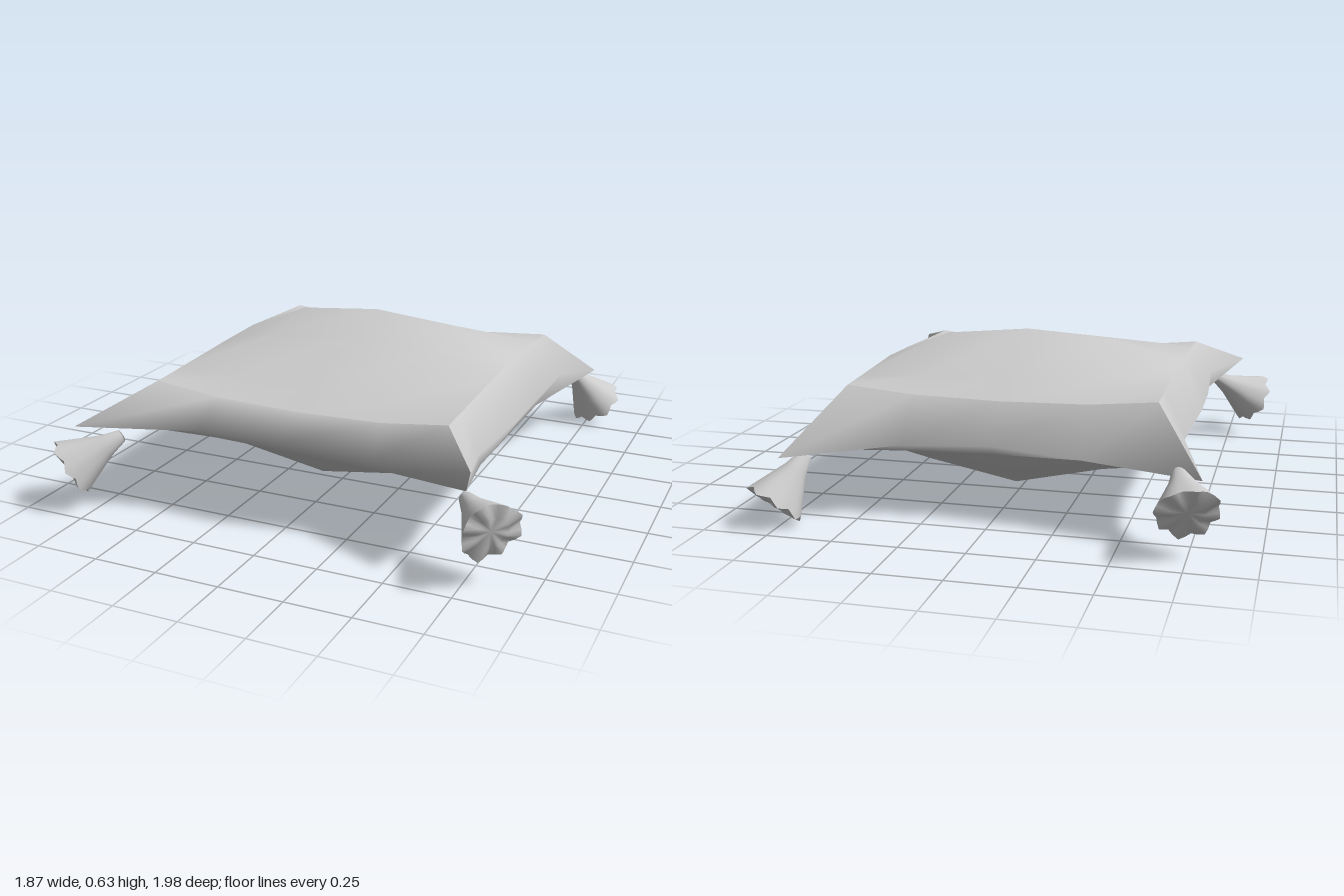
import * as THREE from 'three';
import { mergeVertices } from 'three/addons/utils/BufferGeometryUtils.js';

const material = new THREE.MeshStandardMaterial({ color: 0xcccccc });

// Smooth surface through rows of [x, y, z] points (rows run upward, columns to the right)
function patch(name, rows) {
  const cols = rows[0].length;
  const index = [];
  for (let i = 0; i < rows.length - 1; i++) {
    for (let j = 0; j < cols - 1; j++) {
      const a = i * cols + j, b = a + 1, c = a + cols, d = c + 1;
      index.push(a, b, d, a, d, c);
    }
  }
  const geometry = new THREE.BufferGeometry();
  geometry.setAttribute('position', new THREE.Float32BufferAttribute(rows.flat(2), 3));
  geometry.setIndex(index);
  geometry.computeVertexNormals();
  const mesh = new THREE.Mesh(geometry, material);
  mesh.name = name;
  return mesh;
}

// The four edges of a panel grid (row 0 = front), going round front, left, back, right
function panelEdges(grid) {
  const last = grid.length - 1;
  return [
    grid[0],
    grid.map(row => row[row.length - 1]),
    [...grid[last]].reverse(),
    grid.map(row => row[0]).reverse(),
  ];
}

// Fluted tassel: a flared skirt and a gathered end, along the line from neck to end
function tassel(name, neck, end, turn) {
  const group = new THREE.Group();
  group.name = name;
  const from = new THREE.Vector3(...neck);
  const axis = new THREE.Vector3(...end).sub(from);
  const length = axis.length();
  const radius = 0.112;
  const profiles = {
    tasselSkirt: [[0, 0], [0.025, 0], [0.045, 0.3], [0.078, 0.62], [radius, 0.95]],
    tasselEnd: [[radius, 0.95], [0.06, 1], [0, 0.95]],
  };
  for (const [part, points] of Object.entries(profiles)) {
    let geometry = new THREE.LatheGeometry(points.map(([r, t]) => new THREE.Vector2(r, t * length)), 32);
    geometry.deleteAttribute('uv');
    geometry.deleteAttribute('normal');
    const p = geometry.attributes.position;
    for (let i = 0; i < p.count; i++) {
      const x = p.getX(i), z = p.getZ(i);
      const flare = Math.hypot(x, z) / radius;
      const angle = Math.atan2(z, x);
      const wave = Math.cos(8 * angle);
      const k = 1 + flare * (0.05 * wave + 0.05 * Math.cos(3 * angle + 1));
      p.setXYZ(i, x * k, p.getY(i) + 0.009 * flare * flare * wave, z * k);
    }
    geometry = mergeVertices(geometry, 1e-4);
    geometry.computeVertexNormals();
    const mesh = new THREE.Mesh(geometry, material);
    mesh.name = part;
    group.add(mesh);
  }
  group.quaternion.setFromUnitVectors(new THREE.Vector3(0, 1, 0), axis.normalize());
  group.rotateY(turn);
  group.position.copy(from);
  return group;
}

export function createModel() {
  const model = new THREE.Group();
  model.name = 'tasselledCushion';

  // Top panel, bulging to a peak just behind the middle
  const topX = [-0.6, -0.34, 0, 0.34, 0.6], bulgeX = [0, 0.78, 1, 0.78, 0];
  const topZ = [0.65, 0.5, 0.15, -0.1, -0.42, -0.56], bulgeZ = [0, 0.2, 0.75, 1, 0.32, 0.05];
  const top = topZ.map((z, i) => topX.map((x, j) => {
    const u = bulgeX[j], v = bulgeZ[i];
    return [x, 0.485 + 0.025 * v - 0.04 * u * (1 - v) + 0.14 * u * v, z];
  }));
  model.add(patch('topPanel', top));

  // Underside, sagging to a rounded keel, slightly higher on the right and pulled out at the corners
  const lowX = [-0.65, -0.35, 0, 0.35, 0.65], sagX = [0, 0.64, 1, 0.64, 0];
  const lowZ = [0.65, 0.43, 0.15, -0.12, -0.3, -0.61], sagZ = [0, 0.63, 1, 1, 0.86, 0];
  const low = lowZ.map((z, i) => lowX.map((x, j) => {
    const pull = (i % 5 === 0 && j % 4 === 0) ? 1.05 : 1;
    const sag = sagX[j] * sagZ[i];
    const rim = 0.27 - 0.025 * x + 0.012 * z;
    return [x * pull, rim + (0.03 - rim) * sag, z * pull];
  }));
  model.add(patch('underside', [...low].reverse()));

  // Outer seam: stretched corners with the edges drawn inward between them
  const frontRight = [-0.8, 0.36, 0.93], frontLeft = [0.76, 0.42, 0.87];
  const backLeft = [0.77, 0.26, -0.84], backRight = [-0.79, 0.28, -0.81];
  const seam = [
    [frontRight, [-0.34, 0.36, 0.78], [0, 0.37, 0.79], [0.34, 0.34, 0.73], frontLeft],
    [frontLeft, [0.69, 0.36, 0.58], [0.715, 0.36, 0.15], [0.715, 0.36, -0.1], [0.69, 0.32, -0.55], backLeft],
    [backLeft, [0.34, 0.3, -0.7], [0, 0.31, -0.67], [-0.34, 0.29, -0.7], backRight],
    [backRight, [-0.68, 0.32, -0.55], [-0.71, 0.35, -0.1], [-0.71, 0.36, 0.15], [-0.68, 0.36, 0.6], frontRight],
  ];

  // Side bands from the underside over the seam to the top panel
  const topEdges = panelEdges(top), lowEdges = panelEdges(low);
  ['frontBand', 'leftBand', 'backBand', 'rightBand'].forEach((name, i) => {
    model.add(patch(name, [lowEdges[i], seam[i], topEdges[i]]));
  });

  // Corner tassels
  model.add(
    tassel('frontRightTassel', [-0.69, 0.29, 0.79], [-0.86, 0.17, 0.9], 0),
    tassel('frontLeftTassel', [0.71, 0.28, 0.77], [0.855, 0.235, 0.91], 0.5),
    tassel('backLeftTassel', [0.69, 0.26, -0.77], [0.785, 0.09, -0.875], 1.1),
    tassel('backRightTassel', [-0.7, 0.29, -0.74], [-0.755, 0.19, -0.92], 1.7),
  );
  return model;
}
